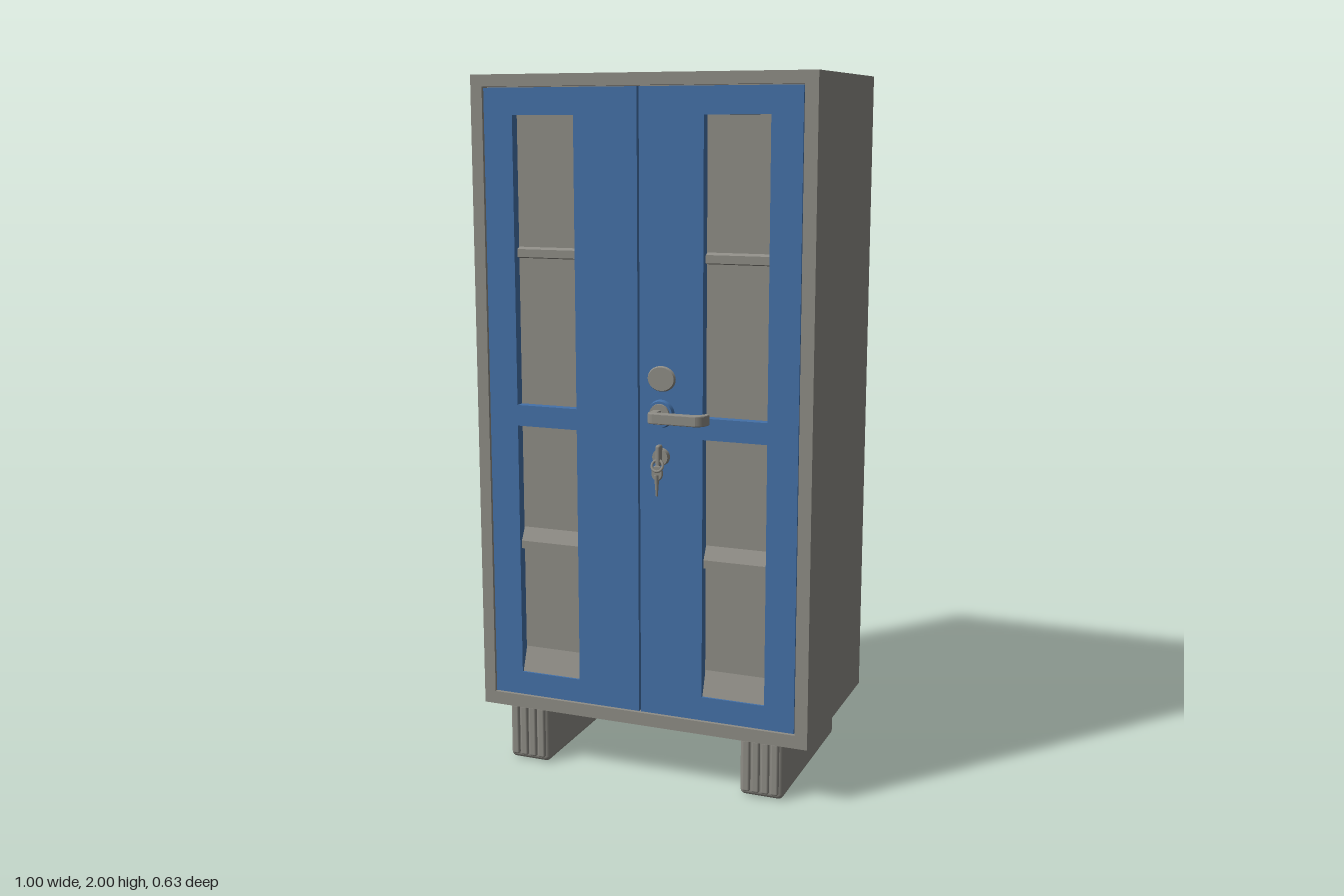
import * as THREE from 'three';
import { RoundedBoxGeometry } from 'three/addons/geometries/RoundedBoxGeometry.js';

const grey = new THREE.MeshStandardMaterial({ color: 0x8f8d86 });
grey.name = 'grey steel';
const blue = new THREE.MeshStandardMaterial({ color: 0x4471a8 });
blue.name = 'blue paint';

const PANEL_Z = 0.215; // front of the inner panel behind the door openings
const FRONT_Z = 0.248;

export function createModel() {
  const model = new THREE.Group();
  model.name = 'cabinet';

  const add = (name, geometry, material, x = 0, y = 0, z = 0, parent = model) => {
    const mesh = new THREE.Mesh(geometry, material);
    mesh.name = name;
    mesh.position.set(x, y, z);
    parent.add(mesh);
    return mesh;
  };
  const rect = (Type, x0, x1, y0, y1) =>
    new Type([[x0, y0], [x1, y0], [x1, y1], [x0, y1]].map((p) => new THREE.Vector2(...p)));
  const plate = (shape, depth) => new THREE.ExtrudeGeometry(shape, { depth, bevelEnabled: false });
  // Side profile given as [z, y], stretched along x
  const prism = (points, width) =>
    plate(new THREE.Shape(points.map((p) => new THREE.Vector2(...p))), width)
      .translate(0, 0, -width / 2).rotateY(-Math.PI / 2);

  // Carcass and the frame around the doors
  add('carcass', new THREE.BoxGeometry(1, 1.83, PANEL_Z + 0.315), grey, 0, 1.085, (PANEL_Z - 0.315) / 2);
  const frame = rect(THREE.Shape, -0.5, 0.5, 0.17, 2);
  frame.holes.push(rect(THREE.Path, -0.465, 0.463, 0.208, 1.967));
  add('doorFrame', plate(frame, FRONT_Z - PANEL_Z), grey, 0, 0, PANEL_Z);

  // Doors, each with two tall openings
  for (const side of [-1, 1]) {
    const name = side < 0 ? 'rightDoor' : 'leftDoor';
    const door = side < 0
      ? rect(THREE.Shape, -0.462, -0.003, 0.211, 1.964)
      : rect(THREE.Shape, 0.003, 0.46, 0.211, 1.964);
    const x0 = side < 0 ? -0.375 : 0.188;
    const x1 = side < 0 ? -0.19 : 0.373;
    for (const [y0, y1] of [[0.28, 1.02], [1.08, 1.89]]) door.holes.push(rect(THREE.Path, x0, x1, y0, y1));
    add(name, plate(door, 0.029), blue, 0, 0, PANEL_Z);

    // Shelves and sloping floor seen through the openings
    const cx = (x0 + x1) / 2, w = x1 - x0 - 0.002;
    add('upperShelf', prism([[0.21, 1.495], [0.228, 1.5], [0.228, 1.522], [0.21, 1.53]], w), grey, cx);
    add('lowerShelf', prism([[0.21, 0.65], [0.235, 0.655], [0.235, 0.678], [0.21, 0.725]], w), grey, cx);
    add('slopingFloor', prism([[0.21, 0.281], [0.24, 0.281], [0.21, 0.365]], w), grey, cx);
  }

  // Runner feet with ribbed fronts
  for (const cx of [-0.364, 0.361]) {
    const foot = new THREE.Group();
    foot.name = 'foot';
    foot.position.x = cx;
    model.add(foot);
    add('runner', new RoundedBoxGeometry(0.128, 0.18, 0.53, 3, 0.016), grey, 0, 0.09, -0.035, foot);
    for (const rx of [-0.042, -0.014, 0.014, 0.042])
      add('rib', new RoundedBoxGeometry(0.023, 0.155, 0.02, 2, 0.006), grey, rx, 0.093, 0.23, foot);
  }

  // Lock cover
  const disc = (r, depth) => new THREE.CylinderGeometry(r * 0.9, r, depth, 32).rotateX(Math.PI / 2);
  add('lockCover', disc(0.042, 0.008), grey, 0.068, 1.182, 0.247).scale.y = 0.86;

  // Lever handle, drawn from above as [x, z]
  add('handleBase', disc(0.04, 0.016), blue, 0.067, 1.085, 0.249);
  add('handleRosette', disc(0.032, 0.02), grey, 0.067, 1.085, 0.252);
  const lever = new THREE.Shape();
  lever.moveTo(0.05, 0.255);
  lever.lineTo(0.073, 0.255);
  lever.lineTo(0.073, 0.292);
  lever.lineTo(0.18, 0.292);
  lever.quadraticCurveTo(0.197, 0.291, 0.2, 0.275);
  lever.quadraticCurveTo(0.21, 0.258, 0.219, 0.275);
  lever.quadraticCurveTo(0.217, 0.306, 0.193, 0.315);
  lever.lineTo(0.068, 0.315);
  lever.quadraticCurveTo(0.05, 0.313, 0.05, 0.297);
  lever.closePath();
  const leverGeometry = new THREE.ExtrudeGeometry(lever, {
    depth: 0.024, bevelThickness: 0.003, bevelSize: 0.003, bevelOffset: -0.003, bevelSegments: 2, curveSegments: 8,
  });
  add('handleLever', leverGeometry.translate(0, 0, -0.012).rotateX(Math.PI / 2), grey, 0, 1.083);

  // Keyhole with a key and a spare hanging below
  add('keyhole', disc(0.025, 0.018), grey, 0.068, 0.965, 0.25);
  add('keyBow', new RoundedBoxGeometry(0.014, 0.06, 0.026, 2, 0.006), grey, 0.068, 0.972, 0.265);
  add('keyRing', new THREE.TorusGeometry(0.016, 0.004, 8, 24), grey, 0.068, 0.945, 0.277).rotation.x = -0.4;
  add('spareKeyBow', disc(0.017, 0.007), grey, 0.068, 0.925, 0.28).scale.y = 1.3;
  add('spareKeyBlade', new THREE.CylinderGeometry(0.008, 0.003, 0.06, 8), grey, 0.068, 0.89, 0.281);

  return model;
}
